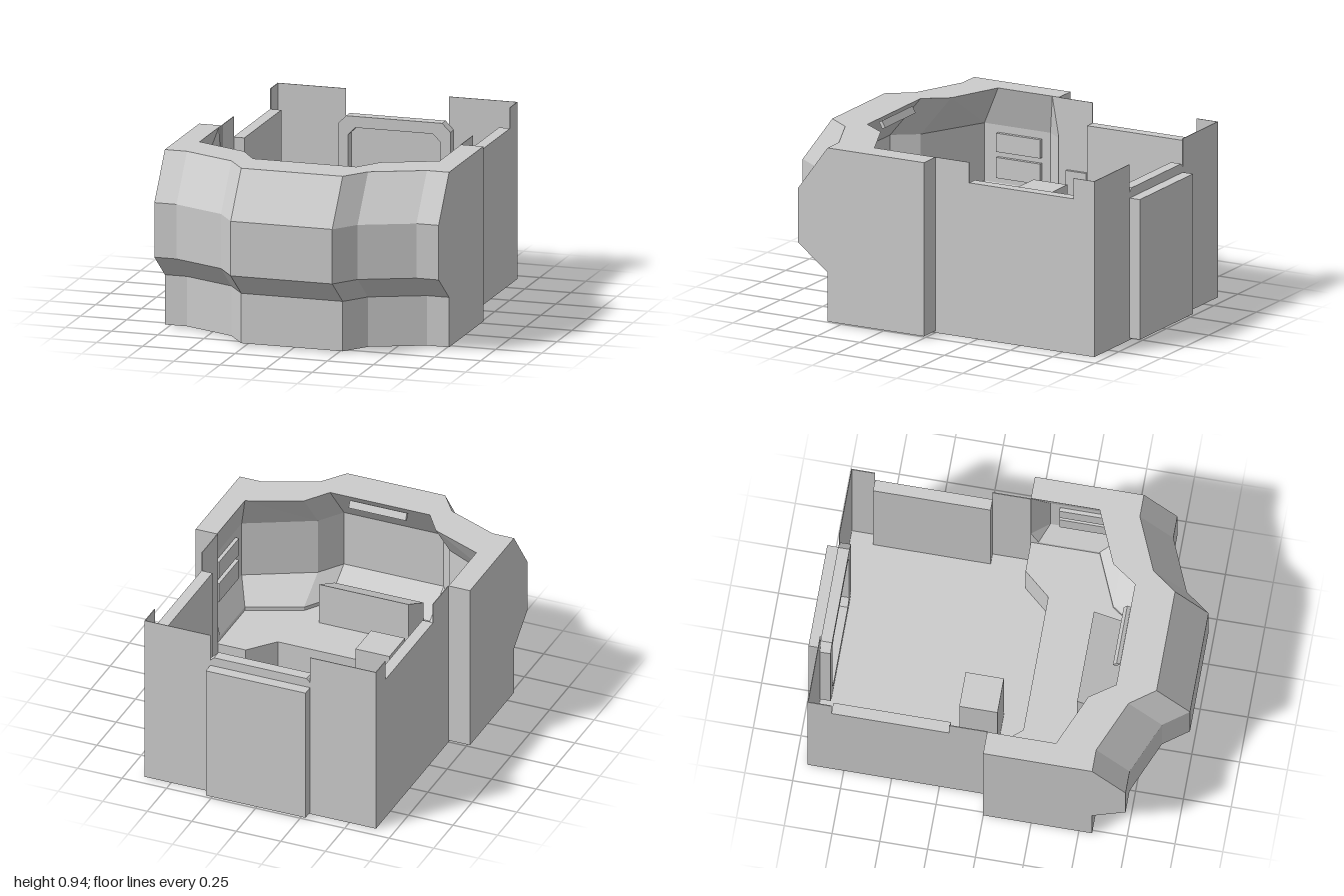
import * as THREE from 'three';

export function createModel() {
  const model = new THREE.Group();
  const mat = new THREE.MeshStandardMaterial({ color: 0xcccccc, flatShading: true, side: THREE.DoubleSide });

  const add = (name, geo) => {
    const mesh = new THREE.Mesh(geo, mat);
    mesh.name = name;
    model.add(mesh);
    return mesh;
  };
  // box given by its limits on each axis
  const box = (name, x0, x1, y0, y1, z0, z1) => {
    const mesh = add(name, new THREE.BoxGeometry(x1 - x0, y1 - y0, z1 - z0));
    mesh.position.set((x0 + x1) / 2, (y0 + y1) / 2, (z0 + z1) / 2);
    return mesh;
  };
  // box on one side, s = 1 for left and -1 for right
  const sideBox = (name, s, x0, x1, ...rest) =>
    box(name, s > 0 ? x0 : -x1, s > 0 ? x1 : -x0, ...rest);
  const mirrored = half => [...half, ...half.slice().reverse().map(([x, z]) => [-x, z])];

  // Front shell: plan outlines stacked up the outside, over the rim and down the inside
  const outer = [[0.77, 0], [0.77, 0.57], [0.65, 0.57], [0.37, 0.69], [0.275, 0.82]];
  const outerMid = outer.map(([x, z]) => [x, z > 0 ? z + 0.175 : 0]);
  const inner = [[0.65, 0], [0.65, 0.04], [0.65, 0.36], [0.37, 0.48], [0.28, 0.61]];
  const innerMid = [[0.65, 0], [0.72, 0.09], [0.72, 0.48], [0.37, 0.66], [0.28, 0.79]];
  const rings = [
    [outer, 0.01], [outer, 0.275], [outerMid, 0.41], [outerMid, 0.7], [outer, 0.94],
    [inner, 0.94], [innerMid, 0.72], [innerMid, 0.41], [inner, 0.3], [inner, 0.01], [outer, 0.01],
  ].map(([half, y]) => mirrored(half).map(([x, z]) => [x, y, z]));
  const pos = [];
  for (let s = 0; s < rings.length - 1; s++) {
    for (let t = 0; t < rings[s].length - 1; t++) {
      const a = rings[s][t], b = rings[s + 1][t], c = rings[s + 1][t + 1], d = rings[s][t + 1];
      pos.push(...a, ...b, ...c, ...a, ...c, ...d);
    }
  }
  const shell = new THREE.BufferGeometry();
  shell.setAttribute('position', new THREE.Float32BufferAttribute(pos, 3));
  shell.computeVertexNormals();
  add('frontShell', shell);

  // Raised front platform with a stepped rear edge
  const plan = [...mirrored(inner), [-0.49, 0], [-0.37, 0.14], [0.37, 0.14], [0.49, 0]];
  const platform = new THREE.ExtrudeGeometry(
    new THREE.Shape(plan.map(([x, z]) => new THREE.Vector2(x, -z))), { depth: 0.27, bevelEnabled: false });
  platform.rotateX(-Math.PI / 2).translate(0, 0.01, 0);
  add('platform', platform);

  // Floor slab
  box('floor', -0.65, 0.65, 0, 0.02, -0.94, 0.48);

  for (const s of [1, -1]) {
    // Closing face behind the front shell
    const end = add('shellEnd', new THREE.PlaneGeometry(0.12, 0.93));
    end.rotation.y = Math.PI;
    end.position.set(s * 0.71, 0.475, 0);
    // Thin outer walls with a thicker, lower panel between them
    sideBox('sideWallFront', s, 0.646, 0.65, 0.01, 0.94, -0.2, 0);
    sideBox('sideWallPanel', s, 0.59, 0.65, 0.01, 0.83, -0.815, -0.2);
    sideBox('sideWallRear', s, 0.646, 0.65, 0.01, 0.94, -0.94, -0.815);
    sideBox('backWall', s, 0.28, 0.65, 0.01, 0.94, -0.94, -0.936);
    // Panels in the side recess
    sideBox('recessPanelUpper', s, 0.7, 0.72, 0.58, 0.68, 0.14, 0.4);
    sideBox('recessPanelLower', s, 0.7, 0.72, 0.44, 0.55, 0.14, 0.4);
  }

  // Rear door and its chamfered inner frame
  box('door', -0.28, 0.28, 0.01, 0.76, -1, -0.94);
  const chamfered = (Path, w, y0, y1, c) => new Path([
    [-w, y0 + c], [-w + c, y0], [w - c, y0], [w, y0 + c],
    [w, y1 - c], [w - c, y1], [-w + c, y1], [-w, y1 - c],
  ].map(p => new THREE.Vector2(...p)));
  const frame = chamfered(THREE.Shape, 0.305, 0.01, 0.81, 0.045);
  frame.holes.push(chamfered(THREE.Path, 0.25, 0.07, 0.75, 0.04));
  add('doorFrame', new THREE.ExtrudeGeometry(frame, { depth: 0.06, bevelEnabled: false })
    .translate(0, 0, -0.94));

  // Control console, its top falling towards the front
  const side = new THREE.Shape([[0.4, 0.28], [0.6, 0.28], [0.6, 0.41], [0.4, 0.51]]
    .map(([z, y]) => new THREE.Vector2(-z, y)));
  const desk = new THREE.ExtrudeGeometry(side, { depth: 0.5, bevelEnabled: false });
  add('console', desk.rotateY(Math.PI / 2).translate(-0.25, 0, 0));

  // Slim strip under the front rim
  const strip = box('overheadStrip', -0.16, 0.16, 0.89, 0.93, 0.58, 0.6);
  strip.rotation.x = 0.5;

  // Pedestal and small wall box on the right
  box('pedestal', -0.4, -0.21, 0.02, 0.56, -0.19, 0.01);
  box('wallBox', -0.65, -0.63, 0.43, 0.56, -0.17, -0.05);

  return model;
}
